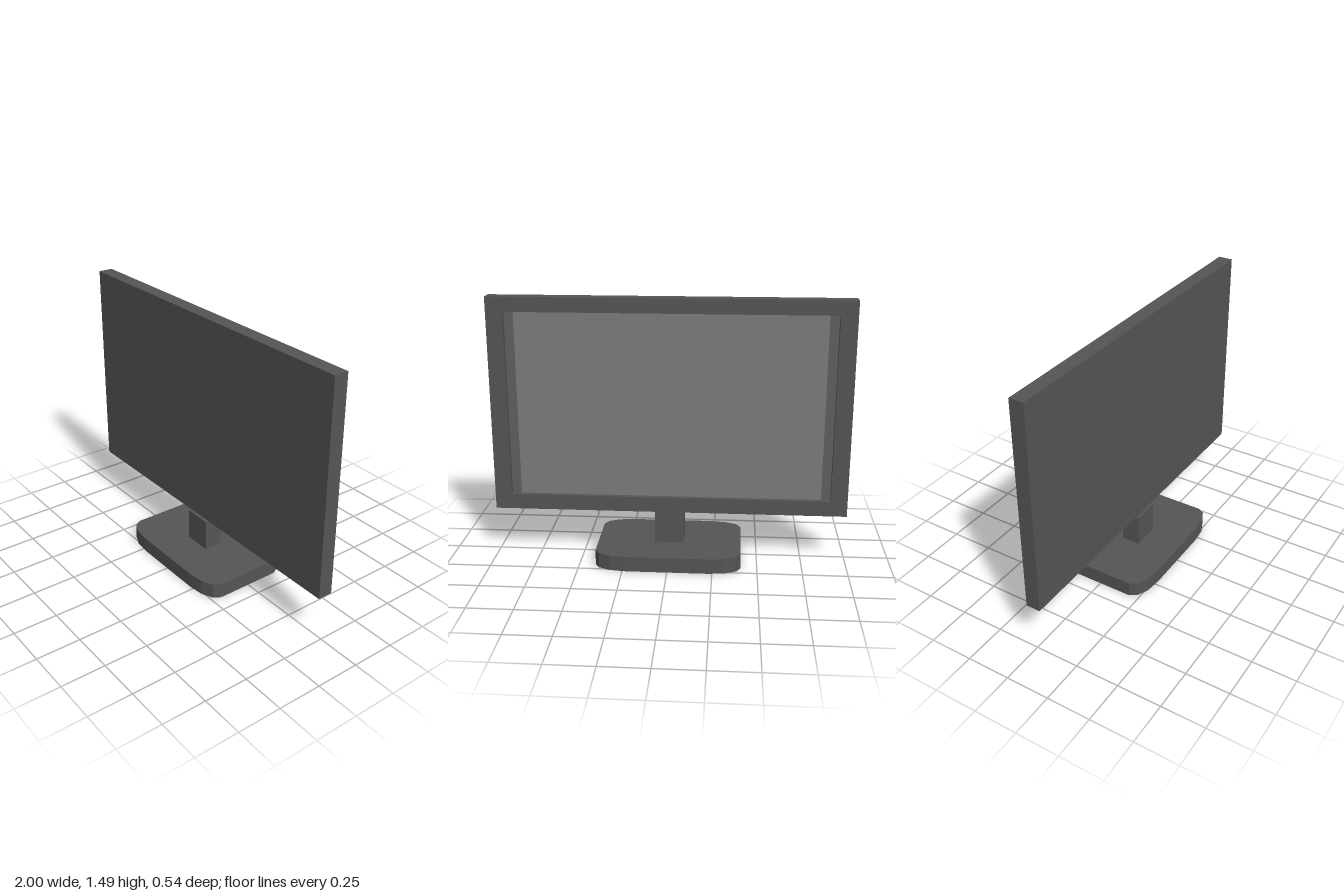
import * as THREE from 'three';

const material = (color) => new THREE.MeshStandardMaterial({ color, flatShading: true });
const dark = material(0x555555);
const stripGrey = material(0x606060);
const screenGrey = material(0x7c7c7c);

// Box given by its minimum and maximum corners
function box(name, mat, [x0, y0, z0], [x1, y1, z1]) {
  const mesh = new THREE.Mesh(new THREE.BoxGeometry(x1 - x0, y1 - y0, z1 - z0), mat);
  mesh.position.set((x0 + x1) / 2, (y0 + y1) / 2, (z0 + z1) / 2);
  mesh.name = name;
  return mesh;
}

function rectangle(PathType, x, y0, y1) {
  return new PathType([[-x, y0], [x, y0], [x, y1], [-x, y1]].map((p) => new THREE.Vector2(...p)));
}

// Slab with faceted elliptical corners, three facets each
function createBase() {
  const corners = [[1, 1, 0], [-1, 1, 90], [-1, -1, 180], [1, -1, 270]];
  const points = [];
  for (const [sx, sy, start] of corners) {
    for (let i = 0; i <= 3; i++) {
      const a = THREE.MathUtils.degToRad(start + i * 30);
      points.push(new THREE.Vector2(sx * 0.228 + 0.18 * Math.cos(a), sy * 0.192 + 0.08 * Math.sin(a)));
    }
  }
  const geometry = new THREE.ExtrudeGeometry(new THREE.Shape(points), { depth: 0.087, bevelEnabled: false });
  geometry.rotateX(-Math.PI / 2);
  const base = new THREE.Mesh(geometry, dark);
  base.name = 'base';
  return base;
}

export function createModel() {
  const group = new THREE.Group();
  group.name = 'monitor';
  group.add(createBase());
  group.add(box('neck', dark, [-0.083, 0.087, -0.053], [0.083, 0.272, 0.053]));

  // Panel: solid front slab with a raised rim on the back
  const bottom = 0.27, top = 1.49, back = -0.05, floor = -0.02;
  group.add(box('panel', dark, [-1, bottom, floor], [1, top, 0.033]));
  const outline = rectangle(THREE.Shape, 1, bottom, top);
  outline.holes.push(rectangle(THREE.Path, 0.906, 0.357, 1.408));
  const rim = new THREE.Mesh(
    new THREE.ExtrudeGeometry(outline, { depth: floor - back, bevelEnabled: false }), dark);
  rim.position.z = back;
  rim.name = 'rim';
  group.add(rim);

  // Recessed screen with a darker strip at each side
  group.add(box('screen', screenGrey, [-0.854, 0.357, floor - 0.003], [0.854, 1.408, floor]));
  for (const side of [-1, 1]) {
    const strip = box('sideStrip', stripGrey, [0.854, 0.357, floor - 0.003], [0.906, 1.408, floor]);
    strip.position.x *= side;
    group.add(strip);
  }
  return group;
}
